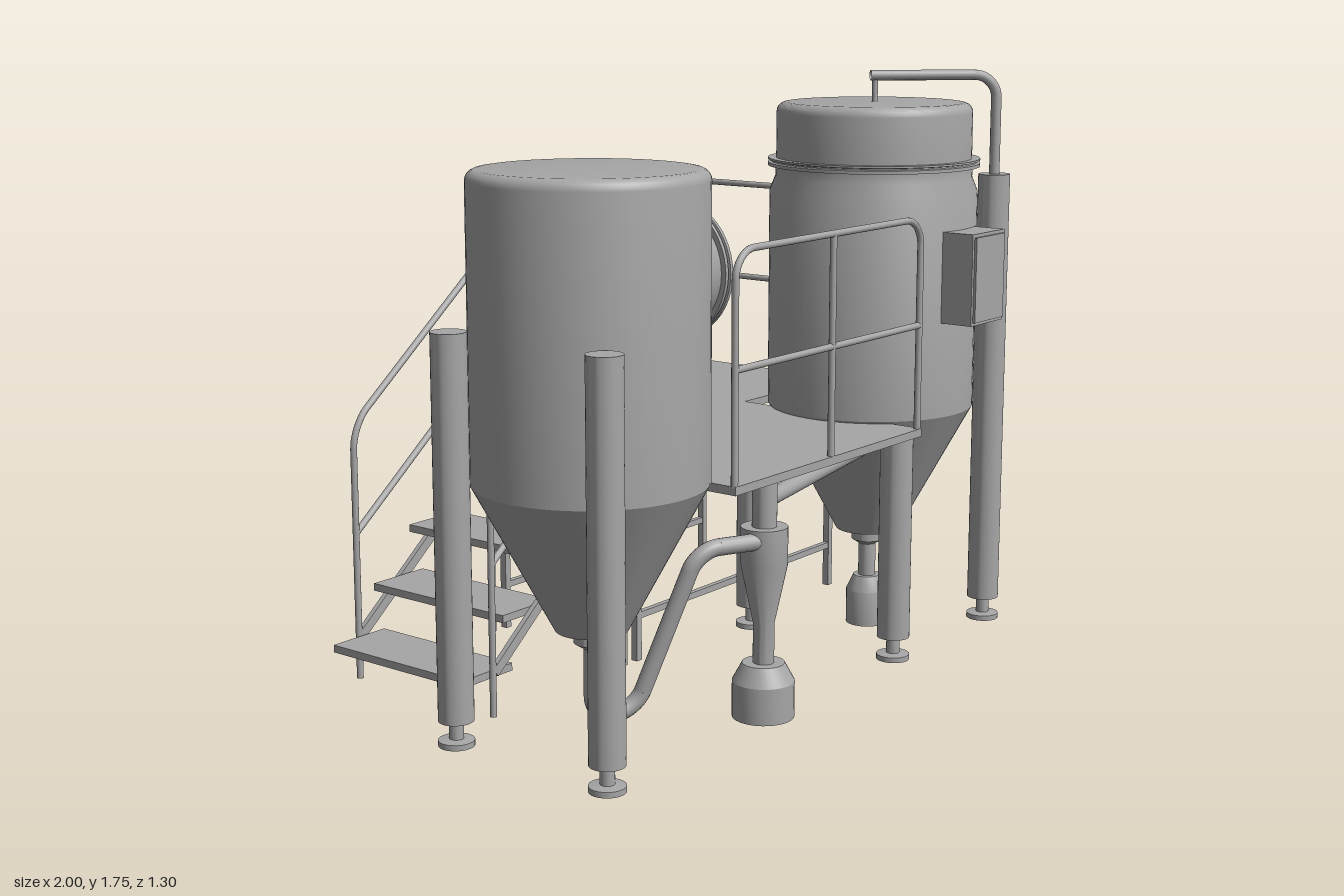
import * as THREE from 'three';
import { mergeGeometries, toCreasedNormals } from 'three/addons/utils/BufferGeometryUtils.js';

const V = (x, y, z) => new THREE.Vector3(x, y, z);

export function createModel() {
  const model = new THREE.Group();
  const steel = new THREE.MeshStandardMaterial({ color: 0xa6a6a6, side: THREE.DoubleSide });
  steel.name = 'steelGrey';

  const add = (name, geometry, x = 0, y = 0, z = 0) => {
    const mesh = new THREE.Mesh(geometry, steel);
    mesh.name = name;
    mesh.position.set(x, y, z);
    model.add(mesh);
    return mesh;
  };

  // Box given by its minimum and maximum corners
  const box = (name, x0, x1, y0, y1, z0, z1) =>
    add(name, new THREE.BoxGeometry(x1 - x0, y1 - y0, z1 - z0), (x0 + x1) / 2, (y0 + y1) / 2, (z0 + z1) / 2);

  // Turned solid with crisp edges; profile is [radius, height] from the bottom up
  const turned = (name, profile, x, z, sides = 64) => {
    const pts = profile.map(([r, y]) => new THREE.Vector2(r, y));
    return add(name, toCreasedNormals(new THREE.LatheGeometry(pts, sides), 0.45), x, 0, z);
  };

  // Pipe through corner points, with every inner corner rounded by the bend distance
  const pipe = (name, points, radius, bend = 0.08, sides = 12) => {
    const parts = [];
    const tube = (curve, n) => parts.push(new THREE.TubeGeometry(curve, n, radius, sides));
    let start = points[0];
    for (let i = 1; i < points.length; i++) {
      const corner = points[i];
      if (i === points.length - 1) {
        tube(new THREE.LineCurve3(start, corner), 1);
        break;
      }
      const inDir = corner.clone().sub(points[i - 1]).normalize();
      const outDir = points[i + 1].clone().sub(corner).normalize();
      const a = corner.clone().addScaledVector(inDir, -bend);
      const b = corner.clone().addScaledVector(outDir, bend);
      const k = 0.45;
      tube(new THREE.LineCurve3(start, a), 1);
      tube(new THREE.CubicBezierCurve3(a, a.clone().lerp(corner, 1 - k), b.clone().lerp(corner, 1 - k), b), 10);
      start = b;
    }
    return add(name, mergeGeometries(parts));
  };

  // Rounded shoulder points ending on the axis
  const shoulder = (r, top, e) => {
    const pts = [];
    for (let i = 0; i <= 5; i++) {
      const t = (i / 5) * Math.PI / 2;
      pts.push([r - e + e * Math.cos(t), top - e + e * Math.sin(t)]);
    }
    return [...pts, [0, top]];
  };

  // Hoppers with conical bottoms
  const tankZ = 0.23, leftX = 0.67, rightX = -0.68;
  const hopper = [[0.026, 0.26], [0.05, 0.275], [0.05, 0.31], [0.1, 0.312], [0.32, 0.72]];
  turned('rightTank', [...hopper, ...shoulder(0.32, 1.55, 0.03)], rightX, tankZ);
  turned('leftTank', [...hopper, [0.32, 1.385], [0.302, 1.43], [0.302, 1.46], [0, 1.46]], leftX, tankZ);
  turned('leftTankFlange', [[0.3, 1.462], [0.325, 1.462], [0.325, 1.472], [0.315, 1.474],
    [0.315, 1.478], [0.325, 1.48], [0.325, 1.486], [0.3, 1.486]], leftX, tankZ);
  turned('leftTankLid', [[0.3, 1.45], ...shoulder(0.3, 1.655, 0.03)], leftX, tankZ);

  // Left tank outlet and collecting can
  turned('outletPipe', [[0.027, 0.14], [0.027, 0.28]], leftX, tankZ, 24);
  turned('collectingCan', [[0, 0], [0.064, 0], [0.064, 0.11], [0.042, 0.157], [0, 0.157]], leftX, tankZ, 32);

  // Inspection hatch on the side of the right tank
  const hatch = turned('hatch', [[0.175, 0], [0.175, 0.115], [0.19, 0.115], [0.19, 0.127], [0.178, 0.129],
    [0.178, 0.135], [0.19, 0.137], [0.19, 0.148], [0.06, 0.152], [0.06, 0.158], [0.035, 0.158],
    [0.035, 0.148], [0, 0.148]], 0, 0, 48);
  hatch.rotation.z = -Math.PI / 2;
  hatch.position.set(-0.455, 1.25, tankZ);

  // Control cabinet with a thin door
  box('controlCabinet', 0.58, 0.765, 1.01, 1.285, 0.5, 0.64);
  box('cabinetDoor', 0.59, 0.755, 1.02, 1.275, 0.64, 0.648);

  // Round support legs on adjustable feet
  const legs = [[-0.94, -0.03, 1.13], [-0.94, 0.5, 1.13], [0.405, -0.03, 0.69], [0.405, 0.5, 0.69], [0.94, 0.5, 1.43]];
  for (const [x, z, top] of legs) {
    turned('supportLeg', [[0, 0.07], [0.049, 0.07], [0.049, top], [0, top]], x, z, 32);
    turned('legFoot', [[0, 0], [0.05, 0], [0.05, 0.016], [0.02, 0.02], [0.02, 0.07]], x, z, 24);
  }

  // Feed pipe from the tall leg over the lid
  pipe('feedPipe', [V(0.94, 1.42, 0.5), V(0.94, 1.735, 0.5), V(0.66, 1.735, 0.22)], 0.016, 0.07);
  pipe('feedNozzle', [V(0.67, 1.64, tankZ), V(0.67, 1.735, tankZ)], 0.009);

  // Cyclone separator with its can, transfer pipe and duct
  const cx = -0.245, cz = 0.485;
  turned('cyclone', [[0.03, 0.15], [0.03, 0.27], [0.066, 0.44], [0.066, 0.548], [0.035, 0.548], [0.035, 0.69]], cx, cz, 32);
  turned('cycloneCan', [[0, 0], [0.088, 0], [0.088, 0.105], [0.06, 0.157], [0, 0.157]], cx, cz, 32);
  pipe('transferPipe', [V(rightX, 0.29, tankZ), V(rightX, 0.06, tankZ), V(-0.56, 0.06, 0.28),
    V(-0.46, 0.515, 0.42), V(-0.26, 0.515, 0.51)], 0.024, 0.062, 16);
  pipe('duct', [V(cx, 0.62, cz), V(0.5, 0.62, 0.33)], 0.024, 0, 16);

  // Platform decks
  box('frontDeck', -0.48, 0.445, 0.69, 0.714, -0.09, 0.56);
  box('backDeck', -0.1, 0.948, 0.69, 0.714, -0.645, -0.09);

  // Platform posts and low braces
  const sides = [-0.635, -0.1];
  for (const z of sides) {
    for (const x of [-0.088, 0.935]) box('deckPost', x - 0.011, x + 0.011, 0, 0.69, z - 0.011, z + 0.011);
    box('lowBrace', -0.088, 0.935, 0.13, 0.15, z - 0.009, z + 0.009);
  }

  // Platform guard rails
  const top = 1.34, mid = 1.025, deck = 0.71, r = 0.01;
  pipe('frontRail', [V(-0.472, deck, 0.55), V(-0.472, top, 0.55), V(0.435, top, 0.55), V(0.435, deck, 0.55)], r);
  pipe('frontMidRail', [V(-0.472, mid, 0.55), V(0.435, mid, 0.55)], r);
  pipe('frontRailPost', [V(-0.02, deck, 0.55), V(-0.02, top, 0.55)], r);
  pipe('backRail', [V(-0.088, deck, -0.635), V(-0.088, top, -0.635), V(0.945, top, -0.635)], r);
  pipe('backMidRail', [V(-0.088, mid, -0.635), V(0.935, mid, -0.635)], r);
  pipe('sideRail', [V(0.935, deck, -0.1), V(0.935, top, -0.1), V(0.935, top, -0.645)], r);
  pipe('sideMidRail', [V(0.935, mid, -0.1), V(0.935, mid, -0.635)], r);
  for (const x of [0.42, 0.935]) pipe('backRailPost', [V(x, deck, -0.635), V(x, top, -0.635)], r);

  // Stair treads
  [-0.83, -0.665, -0.515, -0.335].forEach((x, i) => {
    const y = 0.11 + i * 0.147;
    box('stairTread', x, x + 0.2, y, y + 0.022, -0.625, -0.11);
  });

  // Stair stringers and handrails, one on each side
  for (const z of [-0.638, -0.102]) {
    const stringer = add('stairStringer', new THREE.BoxGeometry(0.74, 0.03, 0.016), -0.425, 0.36, z);
    stringer.rotation.z = Math.atan2(0.46, 0.57);
    pipe('stairRail', [V(-0.718, 0, z), V(-0.718, 0.76, z), V(-0.145, 1.21, z), V(-0.145, 0, z)], r, 0.07);
    pipe('stairMidRail', [V(-0.718, 0.44, z), V(-0.145, 0.89, z)], r);
  }

  return model;
}
